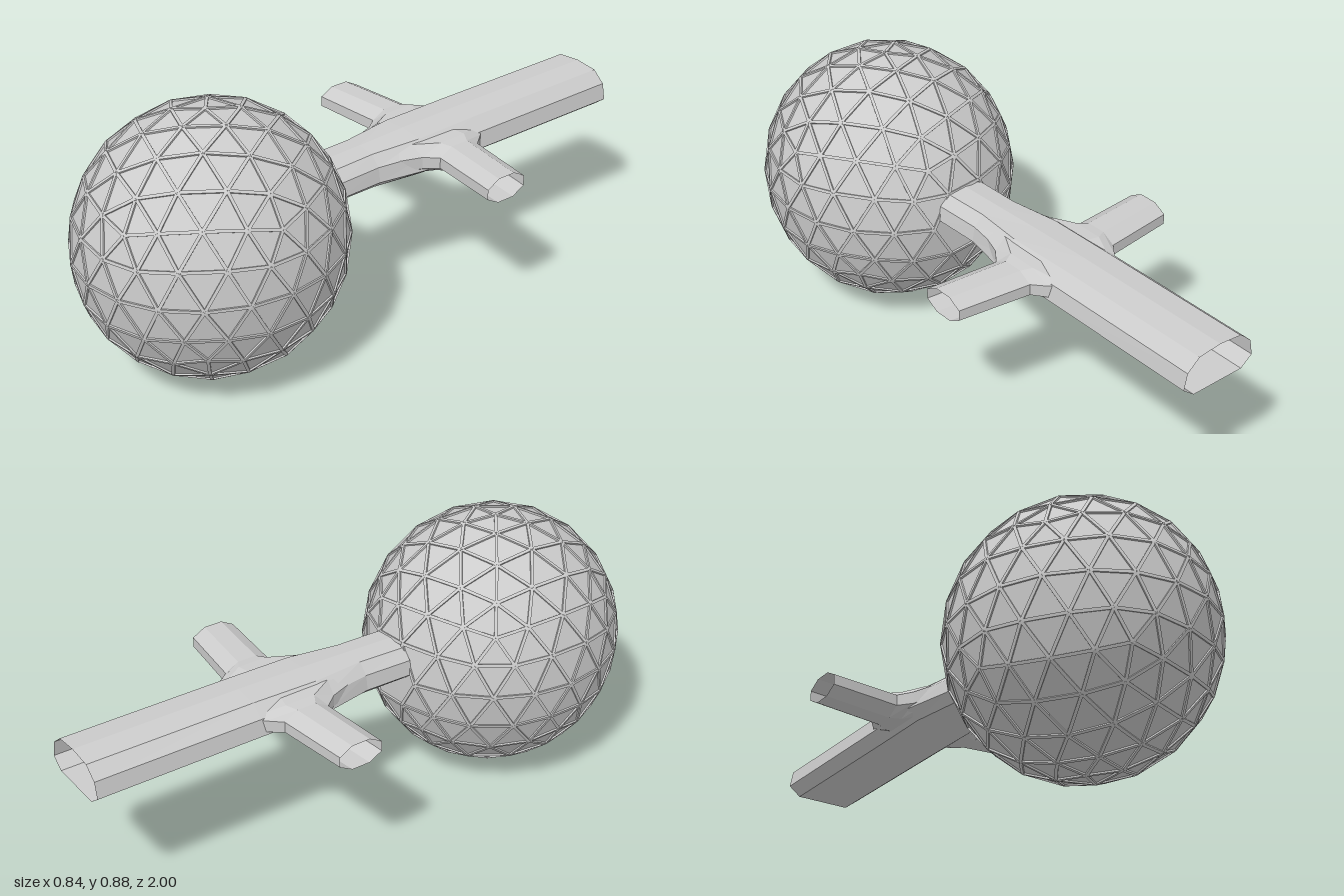
import * as THREE from 'three';
import { mergeGeometries } from 'three/addons/utils/BufferGeometryUtils.js';

const grey = () => new THREE.MeshStandardMaterial({ color: 0xcccccc, flatShading: true, side: THREE.DoubleSide });

function named(name, geometry) {
  const mesh = new THREE.Mesh(geometry, grey());
  mesh.name = name;
  return mesh;
}

// Joins a row of closed cross-sections (arrays of Vector3) into an open tube
function loft(rings) {
  const pos = [], index = [], n = rings[0].length;
  for (const ring of rings) for (const p of ring) pos.push(p.x, p.y, p.z);
  for (let r = 0; r + 1 < rings.length; r++) {
    for (let i = 0; i < n; i++) {
      const a = r * n + i, b = r * n + (i + 1) % n;
      index.push(a, b, a + n, b, b + n, a + n);
    }
  }
  const g = new THREE.BufferGeometry();
  g.setAttribute('position', new THREE.Float32BufferAttribute(pos, 3));
  g.setIndex(index);
  const flat = g.toNonIndexed();
  flat.computeVertexNormals();
  return flat;
}

// Geodesic panels: pole up, slightly narrow in x, flat where the corridor joins
const BACK = -0.413;
function domePanels() {
  const g = new THREE.IcosahedronGeometry(0.434, 3);
  g.rotateZ(-Math.atan(1 / ((1 + Math.sqrt(5)) / 2)));
  const p = g.attributes.position;
  for (let i = 0; i < p.count; i++) {
    p.setX(i, p.getX(i) * 0.952);
    p.setZ(i, Math.max(p.getZ(i), BACK));
  }
  g.computeVertexNormals();
  return g;
}

// One thin bar along every panel edge, facing outwards
function domeStruts(panels) {
  const p = panels.attributes.position, seen = new Set(), bars = [];
  const key = v => v.toArray().map(c => Math.round(c * 1000)).join();
  const isHub = v => Math.hypot(v.x, v.y) < 0.01 && v.z < 0;
  for (let t = 0; t < p.count; t += 3) {
    for (let e = 0; e < 3; e++) {
      const a = new THREE.Vector3().fromBufferAttribute(p, t + e);
      const b = new THREE.Vector3().fromBufferAttribute(p, t + (e + 1) % 3);
      const id = [key(a), key(b)].sort().join('|');
      if (seen.has(id) || isHub(a) || isHub(b)) continue;
      seen.add(id);
      const mid = a.clone().add(b).multiplyScalar(0.5);
      const along = b.clone().sub(a);
      const length = along.length();
      along.normalize();
      const side = mid.clone().cross(along).normalize();
      const out = along.clone().cross(side);
      const m = new THREE.Matrix4().makeBasis(along, side, out).setPosition(mid);
      bars.push(new THREE.BoxGeometry(length, 0.01, 0.01).applyMatrix4(m));
    }
  }
  return mergeGeometries(bars);
}

// Arched corridor section at z, with half width w and top height
function corridorRing(z, w, top) {
  const bottom = 0.44, h = top - bottom;
  const half = [[0.7, 0], [1, 0.24], [0.92, 0.66], [0.6, 0.94]];
  const pts = half.concat([[0, 1]], half.map(([x, y]) => [-x, y]).reverse());
  return pts.map(([x, y]) => new THREE.Vector3(x * w, bottom + y * h, z));
}

// Eight-sided arm section at x, spanning z0..z1 and y0..y1
function armRing(x, z0, z1, y0, y1) {
  const ring = [];
  for (let i = 0; i < 8; i++) {
    const a = (i + 0.5) * Math.PI / 4, k = 1 / Math.cos(Math.PI / 8);
    ring.push(new THREE.Vector3(
      x,
      (y0 + y1) / 2 + Math.sin(a) * k * (y1 - y0) / 2,
      (z0 + z1) / 2 + Math.cos(a) * k * (z1 - z0) / 2));
  }
  return ring;
}

export function createModel() {
  const model = new THREE.Group();

  // Geodesic dome
  const dome = new THREE.Group();
  dome.name = 'dome';
  const panels = domePanels();
  dome.add(named('panels', panels), named('struts', domeStruts(panels)));
  dome.position.set(0, 0.439, 0.562);
  model.add(dome);

  // Corridor running back from the dome, open at the rear
  model.add(named('corridor', loft([
    corridorRing(-1, 0.137, 0.572),
    corridorRing(-0.43, 0.137, 0.57),
    corridorRing(-0.2, 0.14, 0.566),
    corridorRing(-0.02, 0.105, 0.56),
    corridorRing(0.15, 0.108, 0.555),
  ])));

  // Side arms, flared where they meet the corridor
  for (const side of [-1, 1]) {
    model.add(named(side > 0 ? 'leftArm' : 'rightArm', loft([
      armRing(side * 0.09, -0.46, -0.04, 0.45, 0.552),
      armRing(side * 0.135, -0.42, -0.17, 0.452, 0.55),
      armRing(side * 0.17, -0.375, -0.215, 0.455, 0.545),
      armRing(side * 0.42, -0.345, -0.193, 0.458, 0.542),
    ])));
  }
  return model;
}
